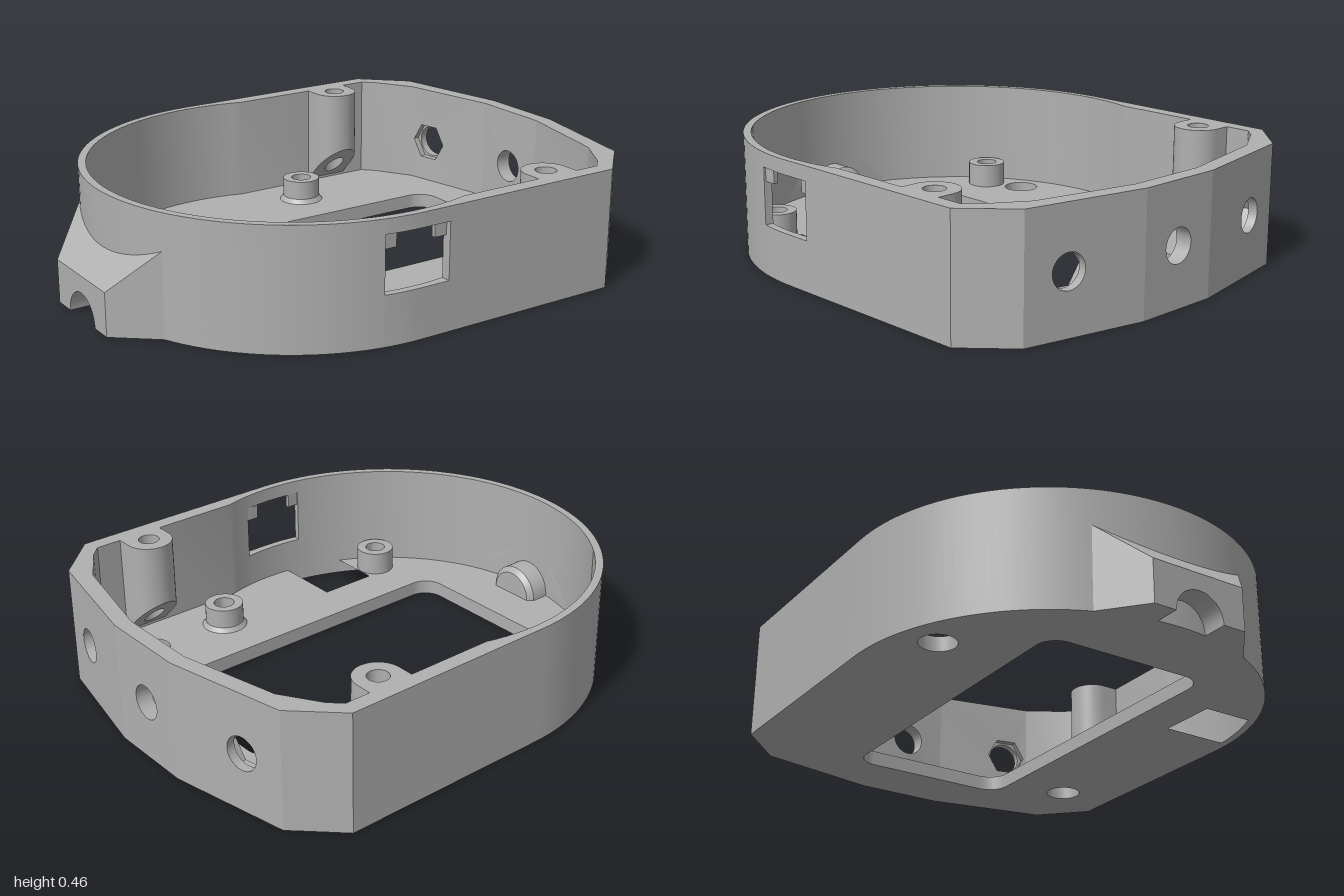
import * as THREE from 'three';
import { toCreasedNormals } from 'three/addons/utils/BufferGeometryUtils.js';

const H = 0.46, FLOOR = 0.057, CX = -0.11, RO = 0.8, RI = 0.77;
const plastic = new THREE.MeshStandardMaterial({ color: 0xb0b0b0 });
plastic.name = 'grey plastic';

export function createModel() {
  const model = new THREE.Group();
  model.name = 'enclosureShell';

  const add = (name, geometry) => {
    const mesh = new THREE.Mesh(toCreasedNormals(geometry, 0.5), plastic);
    mesh.name = name;
    model.add(mesh);
    return mesh;
  };
  const v = (x, y) => new THREE.Vector2(x, y);
  const circle = (x, y, r, n = 32, turn = 0) => new THREE.Path(
    Array.from({ length: n }, (_, i) => {
      const a = turn + (i / n) * Math.PI * 2;
      return v(x + r * Math.cos(a), y + r * Math.sin(a));
    }));
  // Plan outlines use (x, -z) and are extruded upwards
  const extrudeUp = (shape, y0, y1) =>
    new THREE.ExtrudeGeometry(shape, { depth: y1 - y0, bevelEnabled: false, curveSegments: 16 })
      .rotateX(-Math.PI / 2).translate(0, y0, 0);
  // Move every vertex by a rule
  const reshape = (geometry, rule) => {
    const p = geometry.attributes.position, a = new THREE.Vector3();
    for (let i = 0; i < p.count; i++) {
      rule(a.fromBufferAttribute(p, i));
      p.setXYZ(i, a.x, a.y, a.z);
    }
    return geometry;
  };

  // Wall cross-sections: outer and inner plan points as [x, z]
  const section = (deg) => {
    const a = deg * Math.PI / 180, c = Math.cos(a), s = Math.sin(a);
    const inner = [CX + RI * c, RI * s];
    const outer = c < 0 ? [CX + RO * c, RO * s] : [inner[0], RO * Math.sign(s)];
    return { outer, inner };
  };
  const arc = (from, to, n) =>
    Array.from({ length: n + 1 }, (_, i) => section(from + ((to - from) * i) / n));
  const corner = [
    { outer: [0.905, 0.64], inner: [0.855, 0.55] },
    { outer: [0.82, 0.722], inner: [0.765, 0.695] },
    { outer: [0.74, 0.8], inner: [0.72, 0.74] },
  ];
  const mirrorZ = (s) => ({ outer: [s.outer[0], -s.outer[1]], inner: [s.inner[0], -s.inner[1]] });
  const backCorner = corner.map(mirrorZ).reverse();
  const end = { outer: [1, 0.17], inner: [0.94, 0.16] };

  const wall = (name, sections, y0, y1) => add(name, extrudeUp(new THREE.Shape([
    ...sections.map((s) => v(s.outer[0], -s.outer[1])),
    ...sections.map((s) => v(s.inner[0], -s.inner[1])).reverse(),
  ]), y0, y1));

  // Side walls, with a window left open in the front
  const W0 = 81.8, W1 = 100.8;
  const frontRun = [...corner, ...arc(74, W0, 4)];
  const windowRun = arc(W0, W1, 8);
  const mainRun = [...arc(W1, 270, 64), ...arc(274, 286, 4), ...backCorner];
  wall('frontWall', frontRun, 0, H);
  wall('wallBelowWindow', windowRun, 0, 0.19);
  wall('wallAboveWindow', windowRun, 0.405, H);
  wall('curvedAndBackWall', mainRun, 0, H);
  for (const x of [-0.235, -0.025])
    add('windowTab', new THREE.BoxGeometry(0.05, 0.055, 0.016).translate(x, 0.378, 0.771));

  // End panels: one layer with a round hole, one with a round or hexagonal hole
  const T = 0.062, STEP = 0.035;
  const endPanel = (name, s0, s1, holeAt, hex) => {
    const p0 = v(...s0.outer), p1 = v(...s1.outer);
    const q0 = v(...s0.inner), q1 = v(...s1.inner);
    const len = p0.distanceTo(p1), t = p1.clone().sub(p0).divideScalar(len);
    for (const [w0, w1, sides] of [[0, STEP, 32], [STEP, T, hex ? 6 : 32]]) {
      const shape = new THREE.Shape([v(0, 0), v(len, 0), v(len, H), v(0, H)]);
      shape.holes.push(circle(holeAt * len, 0.228, sides === 6 ? 0.082 : 0.065, sides));
      const g = new THREE.ExtrudeGeometry(shape, { depth: w1 - w0, bevelEnabled: false });
      add(name, reshape(g, (a) => {
        const w = a.z + w0, u = a.x;
        let pt;
        if (u < 1e-4) pt = p0.clone().lerp(q0, w / T);
        else if (u > len - 1e-4) pt = p1.clone().lerp(q1, w / T);
        else pt = v(p0.x + t.x * u - t.y * w, p0.y + t.y * u + t.x * w);
        a.set(pt.x, a.y, pt.y);
      }));
    }
  };
  endPanel('endPanelBack', backCorner[2], mirrorZ(end), 0.36, true);
  endPanel('endPanelMiddle', mirrorZ(end), end, 0.5, false);
  endPanel('endPanelFront', end, corner[0], 0.64, true);

  // Floor with a large rounded opening, two round holes and a cutout by the window
  const floor = new THREE.Shape([end, ...frontRun, ...windowRun.slice(1), ...mainRun.slice(1), mirrorZ(end)]
    .map((s) => v((s.outer[0] + s.inner[0]) / 2, -(s.outer[1] + s.inner[1]) / 2)));
  const opening = new THREE.Path(), r = 0.08, x0 = -0.61, x1 = 0.76, z1 = 0.33;
  opening.absarc(x1 - r, z1 - r, r, 0, Math.PI / 2);
  opening.absarc(x0 + r, z1 - r, r, Math.PI / 2, Math.PI);
  opening.absarc(x0 + r, -z1 + r, r, Math.PI, Math.PI * 1.5);
  opening.absarc(x1 - r, -z1 + r, r, Math.PI * 1.5, Math.PI * 2);
  const cutout = new THREE.Path([v(-0.43, -0.5), v(-0.2, -0.5),
    ...arc(96.7, 114.6, 8).map((s) => v(s.inner[0], -s.inner[1]))]);
  floor.holes.push(opening, cutout, circle(-0.36, 0.615, 0.068), circle(0.61, -0.575, 0.068));
  add('floor', extrudeUp(floor, 0, FLOOR));

  // Standoffs; the pair nearer the flat end has a flared foot
  for (const z of [-0.555, 0.555]) {
    for (const [x, foot] of [[-0.51, 0.075], [0.28, 0.09]]) {
      add('standoff', new THREE.LatheGeometry([
        v(foot, FLOOR - 0.002), v(0.075, FLOOR + 0.018), v(0.075, 0.15), v(0.04, 0.15), v(0.04, FLOOR - 0.002),
      ], 32)).position.set(x, 0, z);
    }
  }

  // Screw posts hanging on the walls, undersides sloping down to the wall
  for (const side of [-1, 1]) {
    const cz = 0.677 * side, pr = 0.09;
    const outline = [v(0.53 - pr, -0.76 * side)];
    for (let i = 0; i <= 20; i++) {
      const a = Math.PI * (1 - i / 20);
      outline.push(v(0.53 + pr * Math.cos(a), -cz + side * pr * Math.sin(a)));
    }
    outline.push(v(0.53 + pr, -0.76 * side));
    const shape = new THREE.Shape(outline);
    shape.holes.push(circle(0.53, -cz, 0.04, 24));
    add('screwPost', reshape(extrudeUp(shape, 0, H), (a) => {
      if (a.y < 0.01) a.y = 0.22 - (Math.abs(a.z) - 0.587);
    }));
  }

  // Wedge lug on the round end, with an arched channel along it
  const lug = [v(-0.34, 0)];
  for (let i = 0; i <= 16; i++) {
    const a = Math.PI * (1 - i / 16);
    lug.push(v(0.1 * Math.cos(a), 0.1 * Math.sin(a)));
  }
  lug.push(v(0.34, 0));
  for (let i = 0; i <= 12; i++) lug.push(v(0.34 - (0.68 * i) / 12, 1));
  const lugGeometry = new THREE.ExtrudeGeometry(new THREE.Shape(lug), { depth: 1, bevelEnabled: false });
  add('lug', reshape(lugGeometry, (a) => {
    const outline = a.y > 0.5 || Math.abs(a.x) > 0.2, outerEnd = a.z > 0.5;
    const z = outline && outerEnd ? a.x * 0.19 / 0.34 : a.x;
    const x = outerEnd ? -1 : CX - Math.sqrt(0.785 ** 2 - z * z);
    a.set(x, a.y > 0.5 ? 1.165 + x : a.y, z);
  }));

  // Half-round chamfered boss inside the round end
  add('innerBoss', new THREE.LatheGeometry(
    [v(0, 0), v(0.09, 0), v(0.11, 0.02), v(0.11, 0.12)], 24, 0, Math.PI)
    .rotateZ(Math.PI / 2).translate(-0.78, FLOOR, 0));

  return model;
}
